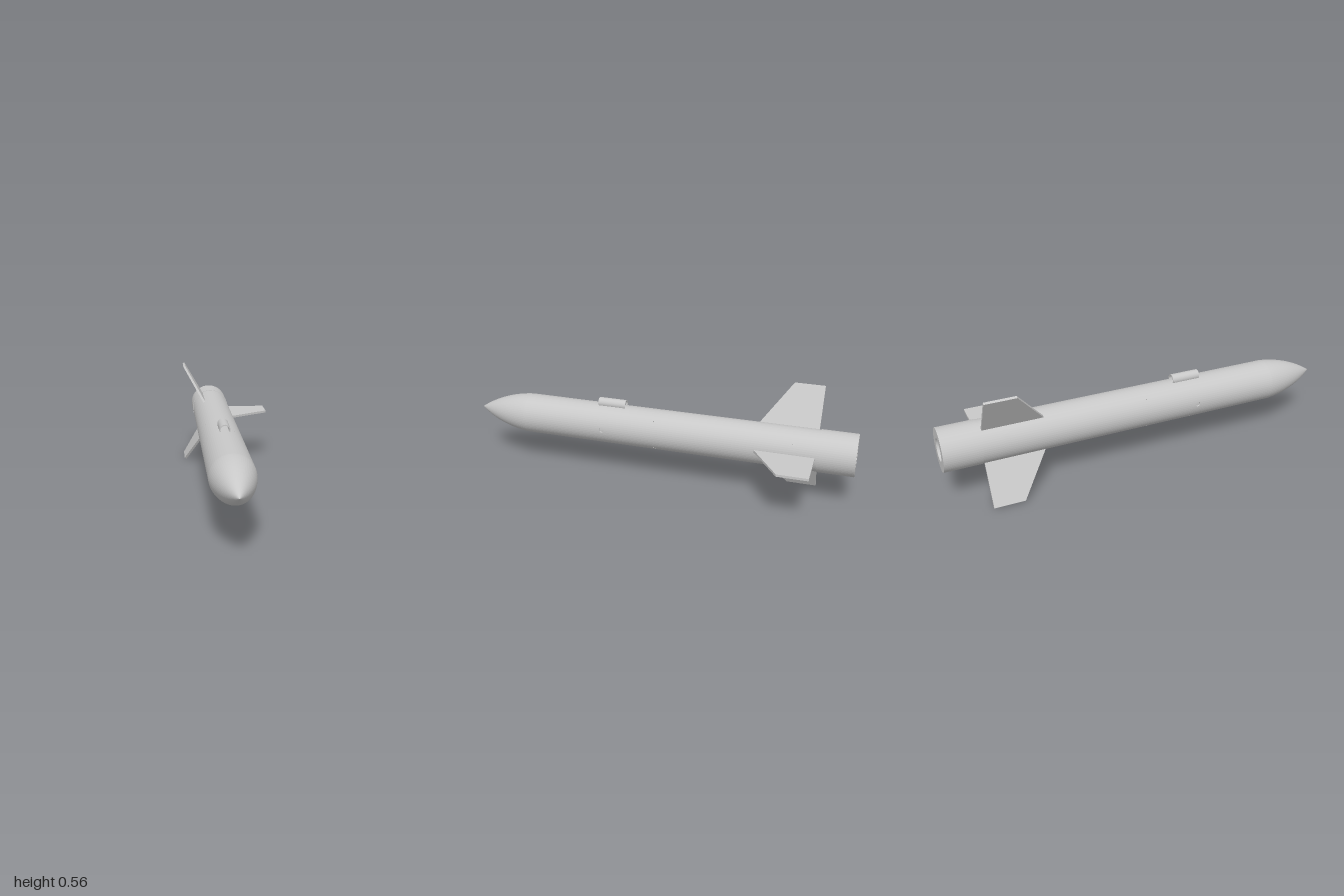
import * as THREE from 'three';

const R = 0.103, TAIL_R = 0.105;

export function createModel() {
  const model = new THREE.Group();
  const grey = new THREE.MeshStandardMaterial({ color: 0xc8c8c8, side: THREE.DoubleSide, flatShading: true });
  grey.name = 'lightGrey';

  // everything is built around the rocket's own axis, along z
  const rocket = new THREE.Group();
  rocket.name = 'rocket';
  rocket.position.set(-0.077, 0.278, 0);
  model.add(rocket);

  const add = (name, geometry) => {
    const mesh = new THREE.Mesh(geometry, grey);
    mesh.name = name;
    rocket.add(mesh);
    return mesh;
  };

  // lathe of [radius, z] points, swept between two angles about z
  const lathe = (name, points, from = 0, to = Math.PI * 2) => {
    const steps = Math.max(2, Math.ceil((to - from) / (Math.PI * 2) * 64));
    const g = new THREE.LatheGeometry(points.map(p => new THREE.Vector2(...p)), steps, from + Math.PI / 2, to - from);
    return add(name, g.rotateX(Math.PI / 2));
  };

  // curved surface around a hole, from its circle out to a square, or the hole's short wall
  const holePatch = (name, theta, z, r, half, wall) => {
    const g = new THREE.PlaneGeometry(1, 1, 32, 4);
    const pos = g.attributes.position;
    for (let i = 0; i < pos.count; i++) {
      const t = -pos.getX(i) * Math.PI * 2, k = pos.getY(i) + 0.5;
      const c = Math.cos(t), s = Math.sin(t);
      const edge = half / Math.max(Math.abs(c), Math.abs(s));
      const d = wall ? r : r + (edge - r) * k;
      const a = theta + d * c / R;
      const radius = wall ? R - 0.006 * (1 - k) : R;
      pos.setXYZ(i, radius * Math.cos(a), radius * Math.sin(a), z + d * s);
    }
    g.computeVertexNormals();
    add(name, g);
  };

  // body tube: plain lengths alternating with bands that carry drilled holes
  const bands = [
    { name: 'screwHole', z: -0.705, r: 0.006, half: 0.015, angles: [0.55] },
    { name: 'ventHole', z: 0, r: 0.003, half: 0.012, angles: [1, 3, 5, 7].map(n => n * Math.PI / 4) },
    { name: 'sideHole', z: 0.27, r: 0.012, half: 0.025, angles: [0, Math.PI] },
  ];
  let z = -0.82;
  for (const b of bands) {
    lathe('bodyTube', [[R, z], [R, b.z - b.half]]);
    b.angles.forEach((angle, i) => {
      const next = i + 1 < b.angles.length ? b.angles[i + 1] : b.angles[0] + Math.PI * 2;
      const gap = b.half / R;
      lathe('bodyTube', [[R, b.z - b.half], [R, b.z + b.half]], angle + gap, next - gap);
      holePatch('bodyTube', angle, b.z, b.r, b.half, false);
      holePatch(b.name, angle, b.z, b.r, b.half, true);
    });
    z = b.z + b.half;
  }
  lathe('bodyTube', [[R, z], [R, 0.71]]);

  // inner sleeve that closes the side holes
  lathe('innerSleeve', [[R - 0.006, 0.22], [R - 0.006, 0.32]]);

  // nose: a tangent ogive slimmed towards a cone
  const L = 0.29, rho = (R * R + L * L) / (2 * R), nose = [];
  for (let i = 0; i <= 20; i++) {
    const d = L * i / 20;
    const ogive = Math.max(0, Math.sqrt(rho * rho - d * d) + R - rho);
    nose.push([0.8 * ogive + 0.2 * R * (1 - i / 20), 0.71 + d]);
  }
  lathe('noseCone', nose);

  // tail ring and motor bore
  lathe('motorBore', [[0, -0.4], [0.055, -0.4], [0.055, -1]]);
  lathe('tailRing', [[0.055, -1], [TAIL_R, -1], [TAIL_R, -0.82], [R - 0.002, -0.82]]);

  // three swept fins
  const finShape = new THREE.Shape([[0.1, -0.515], [0.1, -0.81], [0.317, -0.81], [0.317, -0.66]]
    .map(p => new THREE.Vector2(...p)));
  for (let i = 0; i < 3; i++) {
    const g = new THREE.ExtrudeGeometry(finShape, { depth: 0.012, bevelEnabled: false });
    add('fin', g.translate(0, 0, -0.006).rotateX(Math.PI / 2).rotateZ(i * Math.PI * 2 / 3));
  }

  // half-round launch lug on top
  const lug = new THREE.Shape();
  lug.absarc(0, 0, 0.026, -0.35, Math.PI + 0.35, false);
  lug.absarc(0, 0, 0.0205, Math.PI + 0.35, -0.35, true);
  add('launchLug', new THREE.ExtrudeGeometry(lug, { depth: 0.145, bevelEnabled: false, curveSegments: 24 }))
    .position.set(0, 0.112, 0.168);

  return model;
}
